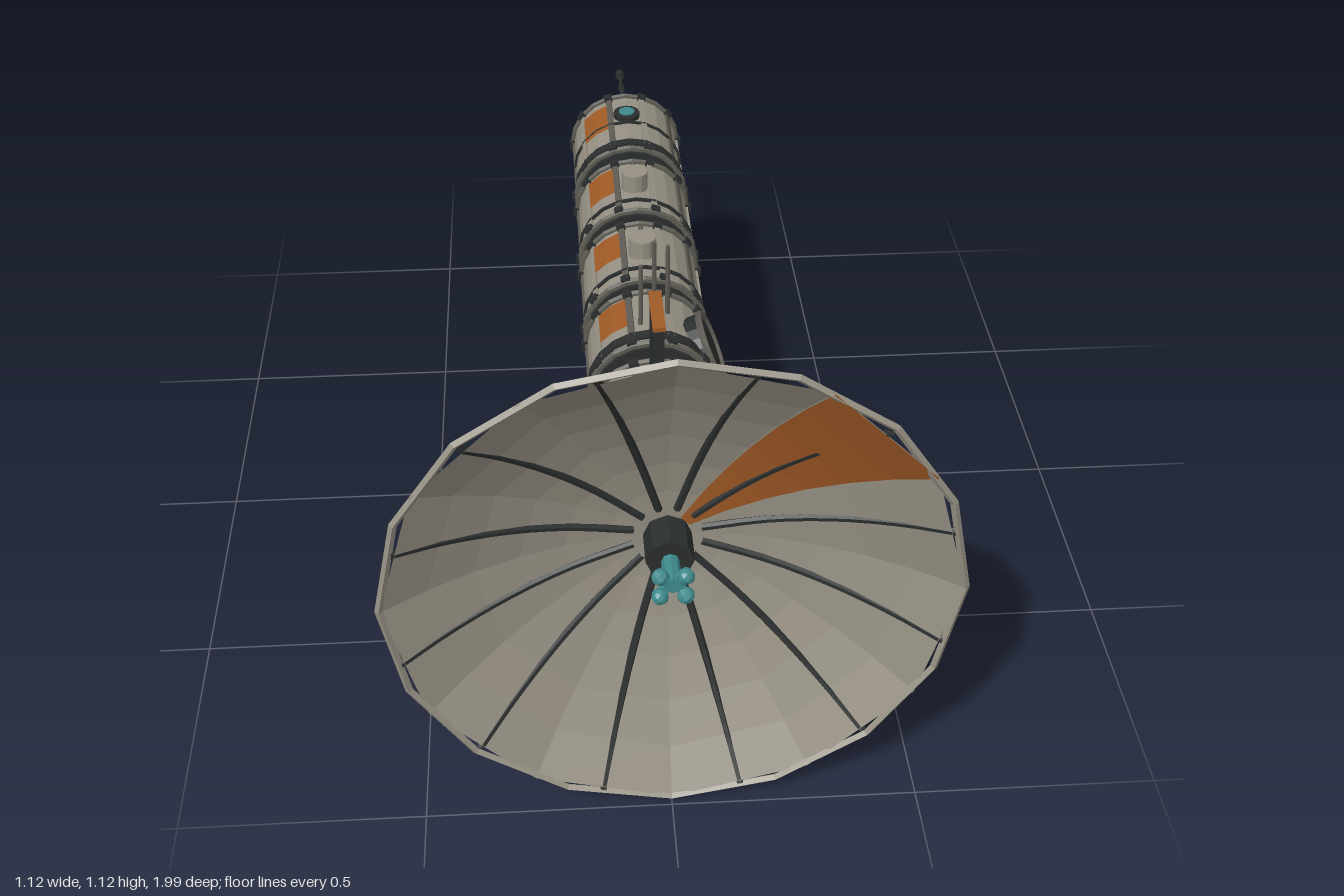
import * as THREE from 'three';

const mat = (color) => new THREE.MeshStandardMaterial({ color, flatShading: true, side: THREE.DoubleSide });
const HULL = mat(0x969083), DARK = mat(0x2b2e2e), TRIM = mat(0x5c5a52), ORANGE = mat(0xa05a26), TEAL = mat(0x3f8a8c);
const RAD = Math.PI / 180;

function add(parent, name, geometry, material, x = 0, y = 0, z = 0) {
  const mesh = new THREE.Mesh(geometry, material);
  mesh.name = name;
  mesh.position.set(x, y, z);
  parent.add(mesh);
  return mesh;
}

// Cylinder along z between z0 and z1
function zCylinder(parent, name, r, z0, z1, material, sides = 20, x = 0, y = 0) {
  const g = new THREE.CylinderGeometry(r, r, z1 - z0, sides).rotateX(Math.PI / 2);
  return add(parent, name, g, material, x, y, (z0 + z1) / 2);
}

// Group whose +x axis points outward at the given angle around the hull
function spoke(parent, name, degrees, z = 0) {
  const g = new THREE.Group();
  g.name = name;
  g.rotation.z = degrees * RAD;
  g.position.z = z;
  parent.add(g);
  return g;
}

const dishZ = (r) => 0.8 + 0.187 * (r / 0.55) ** 2;

function buildDish(root) {
  const dish = new THREE.Group();
  dish.name = 'dish';
  root.add(dish);
  const profile = (r0, r1, lift) => Array.from({ length: 7 }, (_, i) => {
    const r = r0 + (r1 - r0) * i / 6;
    return new THREE.Vector2(r, dishZ(r) + lift);
  });
  add(dish, 'reflector', new THREE.LatheGeometry(profile(0.03, 0.55, 0), 12).rotateX(Math.PI / 2), HULL);
  add(dish, 'colouredSector',
    new THREE.LatheGeometry(profile(0.05, 0.55, 0.005), 1, 120 * RAD, 30 * RAD).rotateX(Math.PI / 2), ORANGE);
  add(dish, 'rim', new THREE.TorusGeometry(0.552, 0.008, 4, 16), HULL, 0, 0, 0.984);
  // Ribs follow the bowl and pass behind the flat facets near the rim
  const ribCurve = new THREE.CatmullRomCurve3([0.07, 0.2, 0.32, 0.44, 0.54]
    .map((r) => new THREE.Vector3(r, 0, dishZ(r) + 0.004)));
  const ribShape = new THREE.TubeGeometry(ribCurve, 12, 0.008, 6);
  for (let i = 0; i < 12; i++) add(spoke(dish, 'rib', 15 + 30 * i), 'ribTube', ribShape, DARK);
  // Feed with four receivers
  zCylinder(dish, 'feedHub', 0.048, 0.76, 0.88, DARK, 8);
  zCylinder(dish, 'feedStem', 0.018, 0.88, 0.95, TEAL, 8);
  for (let i = 0; i < 4; i++) {
    const arm = spoke(dish, 'feedArm', 45 + 90 * i, 0.94);
    add(arm, 'armBar', new THREE.BoxGeometry(0.04, 0.014, 0.014), TEAL, 0.02, 0, 0);
    add(arm, 'receiver', new THREE.SphereGeometry(0.017, 8, 6), TEAL, 0.035, 0, 0.01);
  }
}

// Hull module: dark core, ten panels, battens, end rings and lugs
function buildModule(root, { z0, z1, orange, orangeZ, bands = [] }) {
  const m = new THREE.Group();
  m.name = 'module';
  root.add(m);
  const mid = (z0 + z1) / 2, len = z1 - z0;
  zCylinder(m, 'core', 0.126, z0, z1, DARK);
  const panel = (name, r, deg, span, a, b, material) => add(m, name,
    new THREE.CylinderGeometry(r, r, b - a, 2, 1, true, (deg - span / 2 + 90) * RAD, span * RAD)
      .rotateX(Math.PI / 2), material, 0, 0, (a + b) / 2);
  for (let i = 0; i < 10; i++) {
    panel('hullPanel', 0.133, 18 + 36 * i, 33, z0 + 0.01, z1 - 0.01, HULL);
    const s = spoke(m, 'seam', 36 * i, mid);
    add(s, 'batten', new THREE.BoxGeometry(0.012, 0.014, len - 0.03), i % 2 ? TRIM : HULL, 0.132, 0, 0);
    for (const e of [-1, 1]) {
      add(s, 'lug', new THREE.BoxGeometry(0.014, 0.02, 0.018), DARK, 0.139, 0, e * (len / 2 - 0.012));
    }
  }
  panel('colouredPanel', 0.138, orange, 32, orangeZ[0], orangeZ[1], ORANGE);
  for (const z of [z0 + 0.007, z1 - 0.007]) {
    add(m, 'endRing', new THREE.TorusGeometry(0.135, 0.008, 6, 20), TRIM, 0, 0, z);
  }
  for (const [z, w] of bands) zCylinder(m, 'band', 0.139, z - w / 2, z + w / 2, DARK);
}

export function createModel() {
  const root = new THREE.Group();
  root.name = 'spaceStation';
  const body = new THREE.Group();
  body.name = 'body';
  body.position.y = 0.56;
  root.add(body);

  buildDish(body);

  // Spine and service box
  zCylinder(body, 'spine', 0.05, -0.6, 0.8, DARK, 12);
  add(body, 'serviceBox', new THREE.BoxGeometry(0.185, 0.16, 0.21), DARK, 0, 0, 0.665);

  const modules = [
    { z0: 0.41, z1: 0.56, orange: 162, orangeZ: [0.43, 0.49], bands: [[0.515, 0.022]] },
    { z0: 0.155, z1: 0.36, orange: 126, orangeZ: [0.18, 0.28], bands: [[0.322, 0.025]] },
    { z0: -0.125, z1: 0.12, orange: 126, orangeZ: [-0.09, 0.01], bands: [[0.065, 0.008]] },
    { z0: -0.41, z1: -0.17, orange: 126, orangeZ: [-0.38, -0.27], bands: [[-0.225, 0.008]] },
    { z0: -0.745, z1: -0.46, orange: 126, orangeZ: [-0.7, -0.58], bands: [[-0.498, 0.025], [-0.6, 0.006]] },
  ];
  modules.forEach((m) => buildModule(body, m));

  // Four fins with coloured tips
  for (let i = 0; i < 4; i++) {
    const fin = spoke(body, 'fin', 90 * i, 0.485);
    add(fin, 'finPlate', new THREE.BoxGeometry(0.2, 0.022, 0.126), DARK, 0.205, 0, 0);
    add(fin, 'finTip', new THREE.BoxGeometry(0.01, 0.026, 0.13), ORANGE, 0.309, 0, 0);
  }

  // Thruster pods above and below the two middle modules
  for (const z of [0, -0.29]) {
    for (const deg of [90, -90]) {
      const pod = spoke(body, 'pod', deg, z);
      add(pod, 'podDrum', new THREE.CylinderGeometry(0.031, 0.031, 0.06, 12).rotateZ(Math.PI / 2), HULL, 0.145, 0, 0);
      zCylinder(pod, 'podNozzle', 0.006, -0.065, -0.02, TRIM, 6, 0.158, 0);
    }
  }

  // Side hatch
  const hatch = spoke(body, 'hatch', 22, 0.26);
  add(hatch, 'hatchDisc', new THREE.CylinderGeometry(0.075, 0.075, 0.04, 20).rotateZ(Math.PI / 2), DARK, 0.125, 0, 0);
  add(hatch, 'hatchRing', new THREE.TorusGeometry(0.074, 0.008, 6, 20).rotateY(Math.PI / 2), TRIM, 0.145, 0, 0);

  // Whip aerials
  for (const [x, z, top] of [[-0.02, 0.275, 0.28], [0.01, 0.255, 0.325], [0.04, 0.24, 0.305]]) {
    add(body, 'whipAerial', new THREE.CylinderGeometry(0.005, 0.006, top - 0.11, 6), TRIM, x, (top + 0.11) / 2, z);
  }

  // Roof port and rear port
  const port = spoke(body, 'roofPort', 90, -0.64);
  add(port, 'portRim', new THREE.CylinderGeometry(0.033, 0.033, 0.025, 12).rotateZ(Math.PI / 2), DARK, 0.13, 0, 0);
  add(port, 'portGlass', new THREE.CylinderGeometry(0.02, 0.02, 0.03, 12).rotateZ(Math.PI / 2), TEAL, 0.131, 0, 0);
  zCylinder(body, 'rearPort', 0.032, -0.753, -0.74, TEAL, 16);

  // Rear masts with collars and tips
  for (const [x, y, end] of [[0, 0.065, -1], [-0.055, -0.025, -0.93], [0.052, -0.025, -0.87]]) {
    zCylinder(body, 'mast', 0.005, end, -0.74, DARK, 6, x, y);
    zCylinder(body, 'mastFoot', 0.01, -0.765, -0.74, DARK, 8, x, y);
    zCylinder(body, 'mastCollar', 0.009, end + 0.08, end + 0.095, DARK, 8, x, y);
    zCylinder(body, 'mastTip', 0.011, end, end + 0.024, DARK, 8, x, y);
  }
  return root;
}
